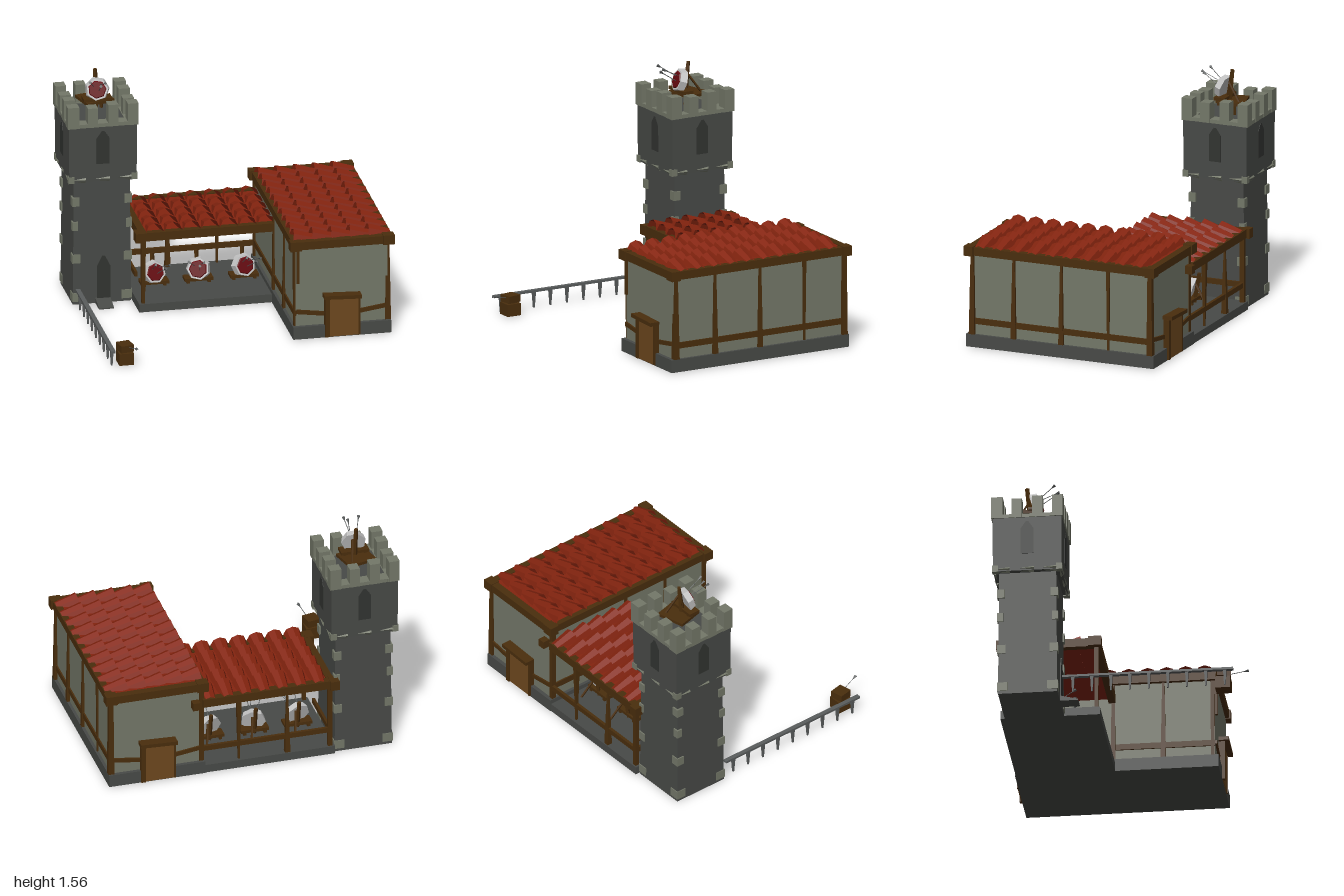
import * as THREE from 'three';
import { mergeGeometries } from 'three/addons/utils/BufferGeometryUtils.js';

const mat = (name, color, side = THREE.FrontSide) =>
  Object.assign(new THREE.MeshStandardMaterial({ color, side, flatShading: true }), { name });

export function createModel() {
  const M = {
    dark: mat('dark stone', 0x484a47),
    pale: mat('pale stone', 0x747869),
    wood: mat('dark wood', 0x4a2e0d),
    door: mat('door wood', 0x6e481e),
    roof: mat('roof tile', 0x84240f, THREE.DoubleSide),
    red: mat('target red', 0x66090f),
    white: mat('target white', 0xc4c4c4),
    hole: mat('dark opening', 0x323431),
    iron: mat('iron grey', 0x5a5d5d),
  };
  const root = new THREE.Group();
  root.name = 'archeryRange';
  const group = (name, parent = root) => {
    const g = new THREE.Group();
    g.name = name;
    parent.add(g);
    return g;
  };
  const add = (parent, name, geo, m) => {
    const mesh = new THREE.Mesh(geo, m);
    mesh.name = name;
    parent.add(mesh);
    return mesh;
  };
  // box given by its limits
  const box = (parent, name, m, x0, x1, y0, y1, z0, z1) => {
    const mesh = add(parent, name, new THREE.BoxGeometry(x1 - x0, y1 - y0, z1 - z0), m);
    mesh.position.set((x0 + x1) / 2, (y0 + y1) / 2, (z0 + z1) / 2);
    return mesh;
  };
  // square post with different widths at the foot and the top
  const post = (parent, name, m, x, z, y0, y1, wFoot, wTop) => {
    const geo = new THREE.CylinderGeometry(wTop * Math.SQRT1_2, wFoot * Math.SQRT1_2, y1 - y0, 4).rotateY(Math.PI / 4);
    const mesh = add(parent, name, geo, m);
    mesh.position.set(x, (y0 + y1) / 2, z);
    return mesh;
  };
  // thin rod between two points
  const rod = (parent, name, m, a, b, r, r2 = r) => {
    const A = new THREE.Vector3(...a), d = new THREE.Vector3(...b).sub(A);
    const mesh = add(parent, name, new THREE.CylinderGeometry(r2, r, d.length(), 4), m);
    mesh.position.copy(A).addScaledVector(d, 0.5);
    mesh.quaternion.setFromUnitVectors(new THREE.Vector3(0, 1, 0), d.normalize());
    return mesh;
  };
  // pointed arch plate, standing on y = 0 and facing +z
  const arch = (w, h) => {
    const s = new THREE.Shape();
    s.moveTo(-w / 2, 0);
    s.lineTo(w / 2, 0);
    s.lineTo(w / 2, h * 0.78);
    s.lineTo(w * 0.1, h);
    s.lineTo(-w * 0.1, h);
    s.lineTo(-w / 2, h * 0.78);
    return new THREE.ExtrudeGeometry(s, { depth: 0.008, bevelEnabled: false });
  };

  // rows of overlapping half-round tiles, sloping down along +x (or -z when turned)
  const tiles = (parent, rows, steps, y, turned) => {
    const list = [];
    for (const r of rows) for (const s of steps) {
      const g = new THREE.CylinderGeometry(0.043, 0.058, 0.15, 4, 1, true, Math.PI, Math.PI);
      g.rotateZ(-Math.PI / 2).rotateZ(-0.22);
      if (turned) g.rotateY(Math.PI / 2).translate(r, y, s);
      else g.translate(s, y, r);
      list.push(g);
    }
    add(parent, 'roofTiles', mergeGeometries(list), M.roof);
  };
  const series = (n, start, step) => Array.from({ length: n }, (_, i) => start + i * step);

  // ---- tower ----
  const tower = group('tower');
  const TX = -0.765, TZ = -0.585;
  post(tower, 'towerShaft', M.dark, TX, TZ, 0, 0.88, 0.39, 0.375);
  post(tower, 'towerHead', M.dark, TX, TZ, 0.87, 1.27, 0.45, 0.455);
  for (let i = 0; i < 4; i++) {
    const side = group('towerSide', tower);
    side.position.set(TX, 0, TZ);
    side.rotation.y = i * Math.PI / 2;
    box(side, 'parapet', M.pale, -0.235, 0.235, 1.25, 1.275, 0.155, 0.232);
    box(side, 'cornerMerlon', M.pale, 0.165, 0.236, 1.25, 1.40, 0.16, 0.236);
    for (const x of [-0.068, 0.068]) box(side, 'merlon', M.pale, x - 0.034, x + 0.034, 1.25, x < 0 ? 1.385 : 1.4, 0.16, 0.234);
    const win = add(side, 'window', arch(0.085, 0.23), M.hole);
    win.position.set(0, 0.99, 0.222);
    // corbel stones under the head
    for (const x of [-0.16, 0, 0.15]) {
      const c = add(side, 'corbel', new THREE.CylinderGeometry(0.03, 0.05, 0.09, 4).rotateZ(Math.PI / 2), M.pale);
      c.scale.set(1, 0.55, 0.4);
      c.position.set(x, 0.885, 0.214);
    }
    // corner stones
    for (const [y, w] of [[0.02, 0.07], [0.29, 0.055], [0.52, 0.04], [0.69, 0.05]])
      box(side, 'cornerStone', M.pale, 0.2 - w, 0.2, y, y + 0.06, 0.2 - w, 0.2);
    box(side, 'headCornerStone', M.pale, 0.19, 0.231, 0.865, 0.91, 0.19, 0.231);
  }
  add(tower, 'towerDoor', arch(0.09, 0.33), M.hole).position.set(-0.755, 0, -0.39);
  const ramp = box(tower, 'doorRamp', M.dark, -0.81, -0.71, 0, 0.04, -0.4, -0.27);
  const rp = ramp.geometry.attributes.position;
  for (let i = 0; i < rp.count; i++) if (rp.getZ(i) > 0 && rp.getY(i) > 0) rp.setY(i, -0.012);

  // ---- main house ----
  const house = group('house');
  box(house, 'houseBase', M.dark, 0.32, 0.975, 0.004, 0.09, -0.815, 0.525);
  box(house, 'houseWalls', M.pale, 0.34, 0.955, 0.09, 0.66, -0.79, 0.5);
  box(house, 'roofDeck', M.roof, 0.34, 0.96, 0.66, 0.68, -0.79, 0.5);
  box(house, 'rightEave', M.wood, 0.94, 0.985, 0.63, 0.685, -0.81, 0.52);
  box(house, 'leftEave', M.wood, 0.315, 0.35, 0.63, 0.685, -0.81, 0.52);
  for (const z of [-0.795, 0.5]) {
    box(house, 'endEave', M.wood, 0.31, 0.985, 0.63, 0.685, z - 0.025, z + 0.025);
    for (const x of [0.345, 0.965]) box(house, 'eaveBlock', M.wood, x - 0.045, x + 0.032, 0.625, 0.69, z - 0.032, z + 0.034);
  }
  tiles(house, series(10, -0.695, 0.125), series(5, 0.4, 0.125), 0.672, false);
  for (const [z, a, b] of [[0.485, 0.04, 0.022], [0.19, 0.036, 0.016], [-0.15, 0.034, 0.016], [-0.485, 0.014, 0.024], [-0.785, 0.04, 0.03]])
    post(house, 'rightWallPost', M.wood, 0.957, z, 0.09, 0.64, a, b);
  box(house, 'rightWallRail', M.wood, 0.95, 0.965, 0.16, 0.2, -0.8, 0.5);
  for (const [z, a, b] of [[0.485, 0.022, 0.03], [0.16, 0.034, 0.016], [-0.17, 0.03, 0.02], [-0.78, 0.03, 0.03]])
    post(house, 'leftWallPost', M.wood, 0.34, z, 0.09, 0.64, a, b);
  box(house, 'leftWallRail', M.wood, 0.33, 0.345, 0.16, 0.2, -0.79, 0.5);
  box(house, 'frontShortPost', M.wood, 0.345, 0.362, 0.39, 0.64, 0.49, 0.515);
  // a door at each end
  for (const [z, turn] of [[0.5, 0], [-0.79, Math.PI]]) {
    const d = group('doorway', house);
    d.position.set(0.645, 0, z);
    d.rotation.y = turn;
    box(d, 'door', M.door, -0.09, 0.12, 0.01, 0.285, -0.01, 0.032);
    box(d, 'doorPost', M.wood, -0.115, -0.085, 0.01, 0.28, -0.01, 0.042);
    box(d, 'doorPost', M.wood, 0.108, 0.122, 0.01, 0.28, -0.01, 0.036);
    box(d, 'lintel', M.wood, -0.125, 0.125, 0.28, 0.305, -0.01, 0.068).rotation.z = -0.04;
    box(d, 'wallBrace', M.wood, -0.3, -0.115, 0.165, 0.193, -0.01, 0.012).rotation.z = -0.14;
    box(d, 'wallBrace', M.wood, 0.12, 0.295, 0.165, 0.193, -0.01, 0.012).rotation.z = 0.14;
  }
  box(house, 'backBlock', M.wood, 0.36, 0.41, 0.5, 0.555, -0.84, -0.79);

  // ---- open porch ----
  const porch = group('porch');
  box(porch, 'porchFloor', M.dark, -0.565, 0.34, 0.004, 0.06, -0.81, -0.155);
  box(porch, 'porchRoofDeck', M.roof, -0.54, 0.335, 0.53, 0.55, -0.79, -0.18);
  box(porch, 'frontBeam', M.wood, -0.58, 0.335, 0.5, 0.558, -0.2, -0.155);
  box(porch, 'backBeam', M.wood, -0.56, 0.335, 0.5, 0.558, -0.815, -0.765);
  box(porch, 'sideBeam', M.wood, -0.562, -0.515, 0.5, 0.558, -0.81, -0.16);
  for (const z of [-0.2, -0.805]) box(porch, 'beamBlock', M.wood, -0.59, -0.53, 0.495, 0.56, z - 0.03, z + 0.055);
  tiles(porch, series(7, -0.46, 0.124), series(5, -0.73, 0.125), 0.546, true);
  for (const [x, z, a, b] of [[-0.535, -0.18, 0.022, 0.032], [-0.535, -0.785, 0.03, 0.03], [-0.245, -0.785, 0.036, 0.01], [0.085, -0.785, 0.012, 0.032]])
    post(porch, 'porchPost', M.wood, x, z, 0.06, 0.51, a, b);
  box(porch, 'backRail', M.wood, -0.55, 0.335, 0.16, 0.195, -0.795, -0.775);
  box(porch, 'sideRail', M.wood, -0.545, -0.527, 0.16, 0.195, -0.79, -0.4);

  // ---- archery targets ----
  const arrow = (parent, a, b) => {
    rod(parent, 'arrowShaft', M.iron, a, b, 0.0025);
    const A = new THREE.Vector3(...a), B = new THREE.Vector3(...b);
    rod(parent, 'arrowFeathers', M.iron, B.clone().lerp(A, 0.22).toArray(), b, 0.002, 0.011);
  };
  const target = (x, y, z, turn, spin) => {
    const t = group('target');
    t.position.set(x, y, z);
    const tilt = group('targetDisc', t);
    tilt.rotation.set(-0.3, turn, 0);
    const disc = (name, r, d, m, at) => {
      const mesh = add(tilt, name, new THREE.CylinderGeometry(r * 0.88, r, d, 7).rotateX(Math.PI / 2), m);
      mesh.rotation.z = spin;
      mesh.position.z = at;
    };
    disc('strawDisc', 0.083, 0.045, M.white, 0);
    disc('redFace', 0.062, 0.008, M.red, 0.025);
    for (const [ax, ay, bx, by] of [[-0.02, 0.02, -0.05, 0.06], [0.02, 0.03, 0.05, 0.05], [0.01, -0.01, 0.02, 0.03]])
      arrow(tilt, [ax, ay, 0.02], [bx, by, 0.16]);
    // easel
    rod(t, 'easelPost', M.wood, [0, -0.09, -0.03], [0, 0.11, -0.065], 0.014);
    rod(t, 'easelBrace', M.wood, [0.02, 0.04, -0.05], [0.05, -0.09, -0.14], 0.008);
    box(t, 'easelBoard', M.wood, -0.095, 0.095, -0.075, -0.055, -0.05, 0.03);
    for (const s of [-0.07, 0.07]) box(t, 'easelFoot', M.wood, s - 0.01, s + 0.01, -0.095, -0.06, -0.05, 0.02);
    return t;
  };
  target(-0.4, 0.152, -0.47, 0.2, 0.4);
  target(-0.105, 0.152, -0.47, -0.25, 1.1);
  target(0.2, 0.152, -0.47, 0.25, 2);
  const top = target(-0.765, 1.44, -0.545, -0.15, 0.7);
  rod(top, 'tallPost', M.wood, [0, -0.17, -0.04], [0, 0.12, -0.065], 0.014);
  const platform = box(top, 'platform', M.wood, -0.1, 0.1, -0.1, -0.08, -0.16, 0.02);
  platform.rotation.y = 0.25;
  rod(top, 'platformLeg', M.wood, [0.05, -0.17, -0.1], [0.05, -0.09, -0.1], 0.012);

  // ---- practice rail ----
  const fence = group('fence');
  box(fence, 'fenceRail', M.iron, -0.948, -0.918, 0.105, 0.12, -0.36, 0.765);
  for (const z of series(9, -0.29, 0.125)) post(fence, 'fencePost', M.iron, -0.933, z, 0, 0.108, 0.01, 0.022);

  // ---- crates with a stray arrow ----
  const crates = group('crates');
  box(crates, 'lowerCrate', M.wood, -0.888, -0.79, 0.004, 0.085, 0.64, 0.74);
  box(crates, 'upperCrate', M.wood, -0.885, -0.795, 0.092, 0.14, 0.643, 0.737).rotation.y = 0.2;
  box(crates, 'crateGap', M.wood, -0.87, -0.81, 0.08, 0.095, 0.66, 0.72);
  arrow(crates, [-0.83, 0.115, 0.7], [-0.795, 0.158, 0.85]);

  return root;
}
